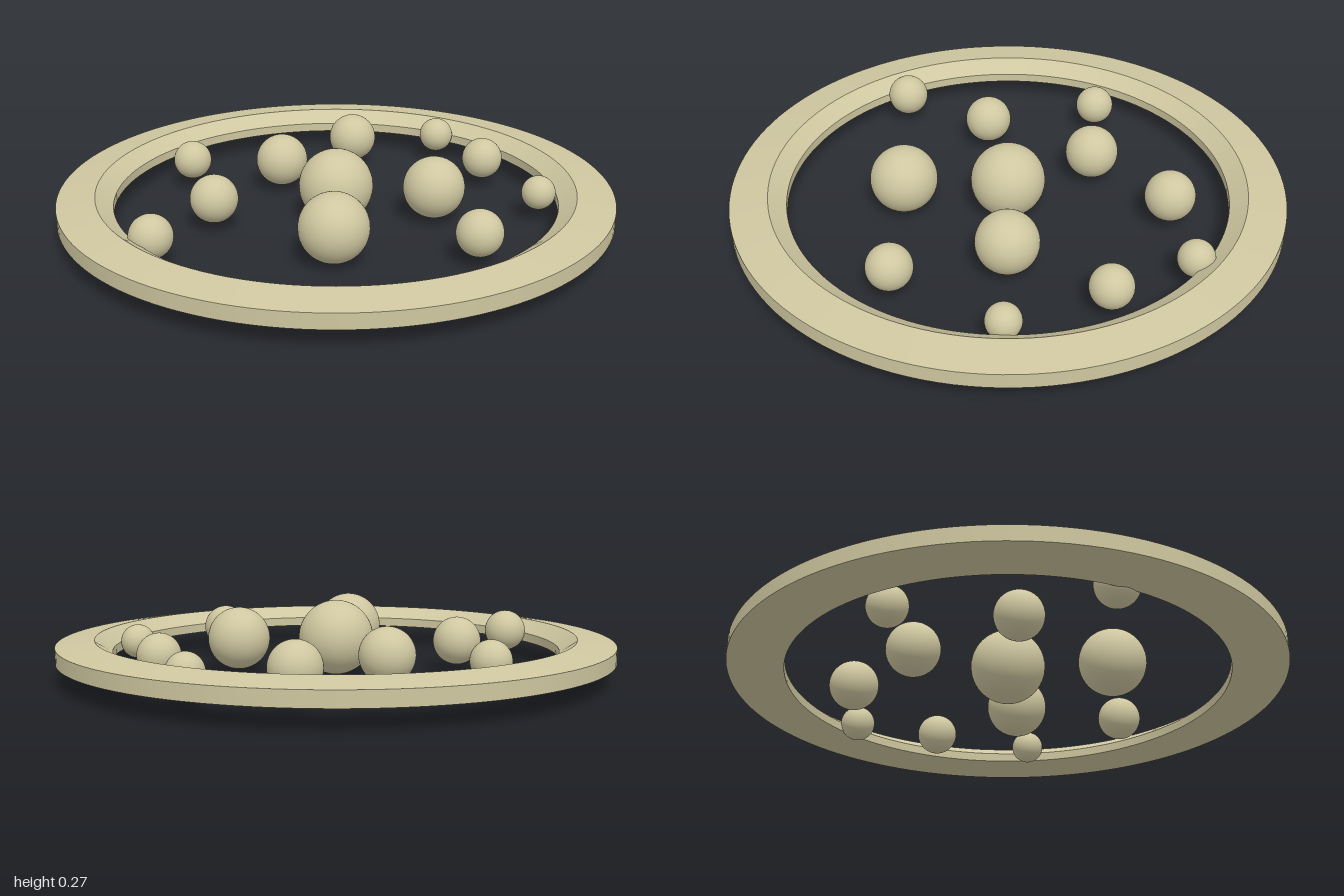
import * as THREE from 'three';
import { toCreasedNormals } from 'three/addons/utils/BufferGeometryUtils.js';

export function createModel() {
  const group = new THREE.Group();
  const sand = new THREE.MeshStandardMaterial({ color: 0xcfc7a0 });
  sand.name = 'sand';

  // Flat ring: gently sloped top, bevelled inner lip, flat underside
  const profile = [
    [0.8, 0.072], [1, 0.072], [1, 0.127], [0.863, 0.147], [0.8, 0.105], [0.8, 0.072],
  ].map(([r, y]) => new THREE.Vector2(r, y));
  const ring = new THREE.Mesh(
    toCreasedNormals(new THREE.LatheGeometry(profile, 128), 0.3), sand);
  ring.name = 'ring';
  group.add(ring);

  // Loose balls inside the ring: x, z, radius
  const balls = [
    [0, 0, 0.135], [0.103, 0.365, 0.123], [0.34, -0.107, 0.113],
    [-0.29, -0.238, 0.098], [-0.105, -0.578, 0.092], [-0.393, 0.207, 0.087],
    [0.575, 0.232, 0.082], [0.443, -0.5, 0.077], [-0.472, 0.575, 0.077],
    [-0.63, -0.16, 0.072], [0.207, -0.735, 0.066], [0.706, -0.212, 0.062],
  ];
  const sphere = new THREE.SphereGeometry(1, 48, 32);
  balls.forEach(([x, z, r], i) => {
    const ball = new THREE.Mesh(sphere, sand);
    ball.name = i === 0 ? 'centreBall' : `ball${i}`;
    ball.scale.setScalar(r);
    // Larger balls sit slightly higher
    ball.position.set(x, 0.085 + 0.37 * r, z);
    group.add(ball);
  });

  return group;
}
